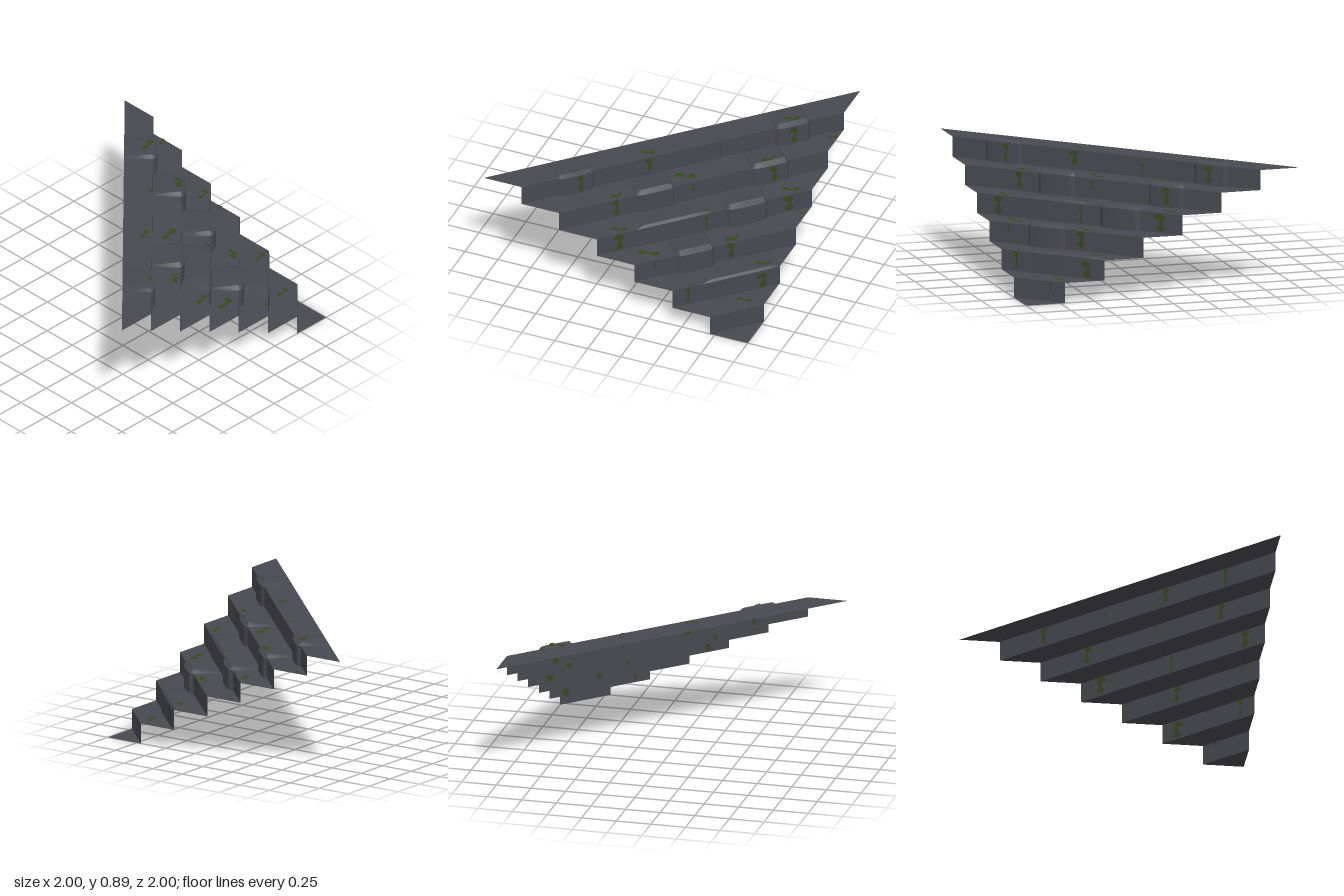
import * as THREE from 'three';
import { toCreasedNormals } from 'three/addons/utils/BufferGeometryUtils.js';

const RISE = 1 / 7, RUN = 2 / 7;
const clamp = THREE.MathUtils.clamp;

// c runs outward across the steps, d runs along them
const place = (c, d, y) => new THREE.Vector3((c + d) / 2, y, (c - d) / 2);

// Bulging stones: riser number, span along the step, outward swell, raised lip
const stones = [
  { k: 1, d0: 0.98, d1: 1.35, out: 0.045, lip: 0.025 },
  { k: 1, d0: -1.34, d1: -0.94, out: 0.035, lip: 0.018 },
  { k: 2, d0: 0.62, d1: 1.01, out: 0.04, lip: 0.03 },
  { k: 2, d0: -0.61, d1: -0.2, out: 0.035, lip: 0.03 },
  { k: 3, d0: 0.23, d1: 0.67, out: 0.05, lip: 0.03 },
  { k: 3, d0: -0.72, d1: 0.09, out: 0.012, lip: 0.02 },
  { k: 4, d0: -0.42, d1: -0.01, out: 0.05, lip: 0.03 },
  { k: 5, d0: -0.24, d1: 0.57, out: 0.012, lip: 0.018 },
];
const ROWS = [0, 0.09, 0.28, 0.5, 0.72, 0.91, 1];
const SWELL = [0, 0.72, 0.94, 1, 0.94, 0.72, 0];

function swellAt(stone, d) {
  const t = (d - stone.d0) / (stone.d1 - stone.d0);
  if (t <= 0 || t >= 1) return 0;
  const i = ROWS.findIndex((r) => r > t) - 1;
  return THREE.MathUtils.lerp(SWELL[i], SWELL[i + 1], (t - ROWS[i]) / (ROWS[i + 1] - ROWS[i]));
}

// Skin stretched over rows of equally long cross-sections
function skin(rows) {
  const n = rows[0].length, index = [];
  for (let i = 0; i < rows.length - 1; i++) {
    for (let j = 0; j < n - 1; j++) {
      const a = i * n + j, b = a + n;
      index.push(a, a + 1, b, a + 1, b + 1, b);
    }
  }
  const g = new THREE.BufferGeometry().setFromPoints(rows.flat());
  g.setIndex(index);
  return toCreasedNormals(g, 0.5);
}

// Winding moss blot, about one unit across
const blotCurve = new THREE.CatmullRomCurve3([
  [-0.5, 0.3], [-0.3, 0.5], [-0.05, 0.3], [0.15, 0.25], [0.35, 0.32], [0.5, 0.1],
  [0.45, -0.45], [0.22, -0.4], [0.2, -0.02], [-0.05, 0], [-0.3, -0.08],
].map(([u, v]) => new THREE.Vector3(u, v, 0)), true);
const blotShape = new THREE.Shape(blotCurve.getPoints(26).map((p) => new THREE.Vector2(p.x, p.y)));

function blot(map) {
  const g = new THREE.ShapeGeometry(blotShape);
  const pos = g.attributes.position;
  for (let i = 0; i < pos.count; i++) {
    const p = map(pos.getX(i), pos.getY(i));
    pos.setXYZ(i, Math.min(p.x, 1), p.y, Math.min(p.z, 1));
  }
  g.computeVertexNormals();
  return g;
}

export function createModel() {
  const group = new THREE.Group();
  const make = (name, color) => {
    const m = new THREE.MeshStandardMaterial({ color, side: THREE.DoubleSide });
    m.name = name;
    return m;
  };
  const rock = make('dark stone', 0x484851);
  const moss = make('moss green', 0x34491c);
  const add = (name, geometry, material) => {
    const mesh = new THREE.Mesh(geometry, material);
    mesh.name = name;
    group.add(mesh);
  };

  // Treads and risers, each shortened by the two outer walls
  const band = (c0, y0, c1, y1) => skin([-1, 1].map((s) =>
    [place(c0, s * (2 - c0), y0), place(c1, s * (2 - c1), y1)]));
  for (let k = 0; k < 7; k++) {
    const y = (6 - k) * RISE;
    add('tread' + k, band(k * RUN, y, (k + 1) * RUN, y), rock);
    if (k > 0) add('riser' + k, band(k * RUN, y + RISE, k * RUN, y), rock);
  }

  // Protruding stones: sloping top, rounded lip, bowed face
  stones.forEach((s, n) => {
    const c = s.k * RUN, y = (7 - s.k) * RISE;
    const rows = ROWS.map((t, i) => {
      const d = THREE.MathUtils.lerp(s.d0, s.d1, t), w = SWELL[i];
      const lift = w > 0 ? s.lip * (0.75 + 0.25 * w) : 0;
      return [
        place(c - RUN + 0.005, d, y + 0.001),
        place(c - RUN * 0.5, d, y + lift * 0.55 + 0.001),
        place(c - 0.01, d, y + lift + 0.001),
        place(c + s.out * w + 0.001, d, y + lift - s.lip * 0.8 * Math.min(1, w * 2)),
        place(c + s.out * w + 0.001, d, y - RISE),
      ];
    });
    add('bulgingStone' + n, skin(rows), rock);
  });

  // Moss on the treads: x, z, width, depth
  [
    [0.7, -0.48, 0.11, 0.08], [0.67, -0.14, 0.07, 0.13], [0.86, -0.09, 0.11, 0.07],
    [0.98, -0.04, 0.06, 0.04], [0.97, -0.6, 0.06, 0.05], [0.335, -0.075, 0.03, 0.05],
    [-0.07, 0.265, 0.1, 0.06], [0.2, 0.235, 0.15, 0.08], [0.43, 0.4, 0.03, 0.06],
    [0.64, 0.43, 0.07, 0.13], [0.88, 0.455, 0.1, 0.07], [0.85, 0.715, 0.11, 0.05],
    [-0.43, 0.7, 0.03, 0.06], [-0.15, 0.65, 0.06, 0.12], [-0.05, 0.825, 0.11, 0.06],
    [0.17, 0.825, 0.15, 0.08], [0.52, 0.885, 0.03, 0.05],
  ].forEach(([x, z, w, h], n) => {
    const k = Math.floor((x + z) / RUN);
    add('treadMoss' + n, blot((u, v) => {
      const px = x + u * w, pz = z + v * h, d = px - pz;
      const c = clamp(px + pz, k * RUN, (k + 1) * RUN);
      let y = (6 - k) * RISE + 0.005;
      for (const s of stones) {
        if (s.k === k + 1 && swellAt(s, d) > 0) y += s.lip * (c / RUN - k) * 1.05;
      }
      return place(c, d, y);
    }), moss);
  });

  // Moss on the risers, front and back: riser, x, y, width, height
  [
    [1, -0.41, 0.79, 0.05, 0.13], [1, -0.04, 0.8, 0.07, 0.1], [1, 0.34, 0.78, 0.02, 0.07],
    [1, 0.72, 0.79, 0.07, 0.12], [2, -0.13, 0.65, 0.06, 0.12], [2, 0.28, 0.67, 0.025, 0.07],
    [2, 0.7, 0.65, 0.07, 0.12], [3, -0.03, 0.5, 0.08, 0.13], [3, 0.435, 0.5, 0.03, 0.12],
    [3, 0.87, 0.5, 0.1, 0.12], [4, 0.25, 0.4, 0.025, 0.07], [4, 0.65, 0.365, 0.07, 0.12],
    [5, 0.51, 0.22, 0.035, 0.13], [5, 0.9, 0.205, 0.09, 0.12], [6, 0.92, 0.11, 0.02, 0.05],
  ].forEach(([k, x, y, w, h], n) => {
    for (const side of [1, -1]) {
      add((side > 0 ? 'riserMoss' : 'riserMossBack') + n, blot((u, v) => {
        // the blot leans so it climbs the riser
        const d = 2 * (x + (v * 0.75 + u * 0.25) * w) - k * RUN;
        let c = k * RUN + side * 0.006;
        if (side > 0) for (const s of stones) if (s.k === k) c += s.out * swellAt(s, d);
        return place(c, d, clamp(y + u * h, (6 - k) * RISE, (7 - k) * RISE));
      }), moss);
    }
  });

  return group;
}
